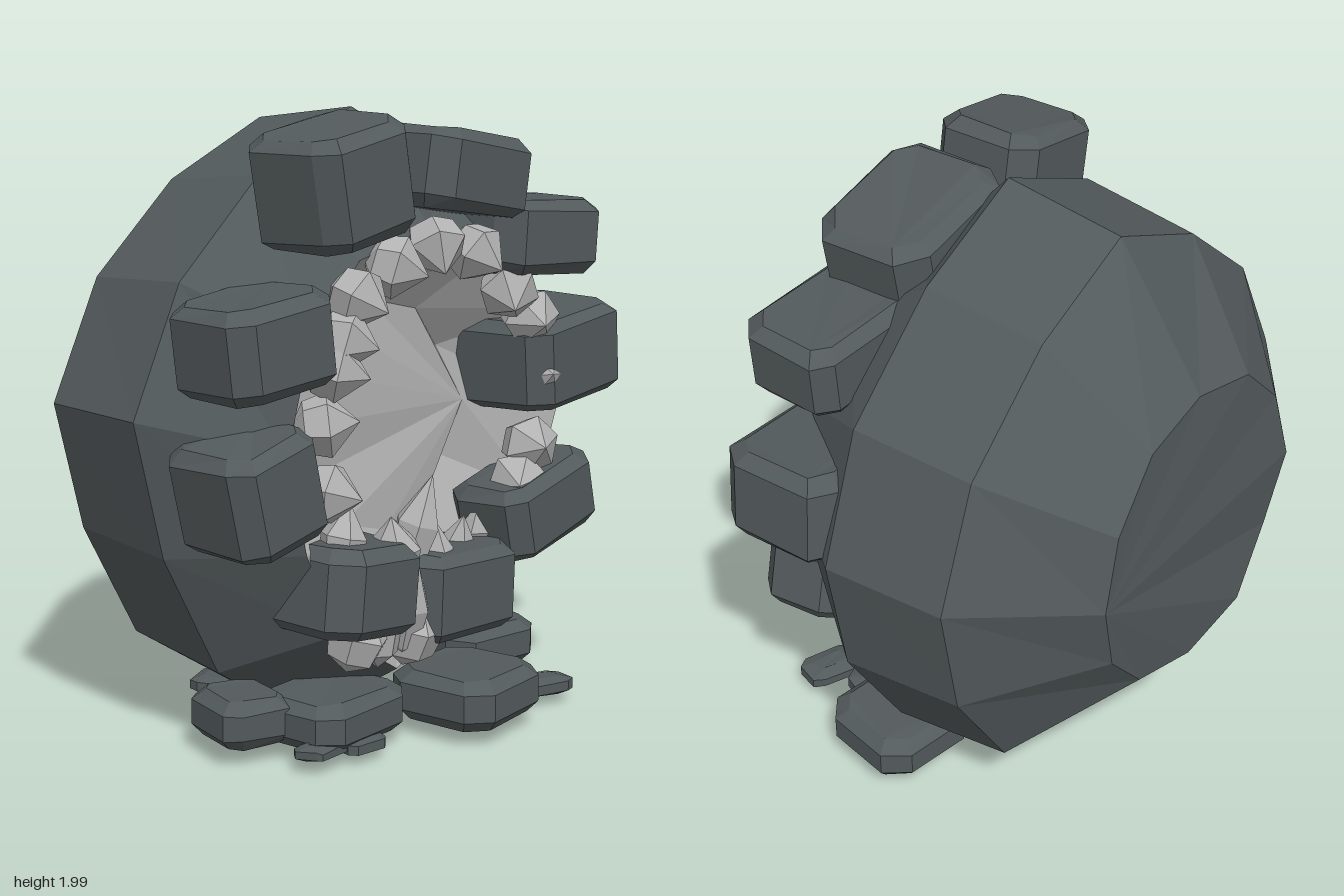
import * as THREE from 'three';

const mat = (name, color) => {
  const m = new THREE.MeshStandardMaterial({ color, flatShading: true });
  m.name = name;
  return m;
};

// Small seeded generator for natural irregularity
let seed = 7;
const jitter = (a) => {
  seed = (seed * 16807) % 2147483647;
  return (seed / 2147483647 - 0.5) * 2 * a;
};

// Skins rings of [x, y, z] points, with optional fan caps on the first and last ring
function loft(rings, capFirst, capLast) {
  const pos = [];
  const tri = (...pts) => pts.forEach((p) => pos.push(...p));
  const n = rings[0].length;
  for (let r = 0; r < rings.length - 1; r++) {
    const a = rings[r], b = rings[r + 1];
    for (let i = 0; i < n; i++) {
      const j = (i + 1) % n;
      tri(a[i], b[i], a[j]);
      tri(a[j], b[i], b[j]);
    }
  }
  const first = rings[0], last = rings[rings.length - 1];
  for (let i = 1; i < n - 1; i++) {
    if (capFirst) tri(first[0], first[i], first[i + 1]);
    if (capLast) tri(last[0], last[i + 1], last[i]);
  }
  const g = new THREE.BufferGeometry();
  g.setAttribute('position', new THREE.Float32BufferAttribute(pos, 3));
  g.computeVertexNormals();
  return g;
}

// Stone slab: chamfered octagon in plan, bevelled at top and bottom
function slabGeometry(w, h, d, j) {
  const c = Math.min(w, d) * 0.18, bevel = Math.min(0.035, h * 0.25);
  const plan = [];
  for (const [sx, sy, flip] of [[1, 1, 0], [-1, 1, 1], [-1, -1, 0], [1, -1, 1]]) {
    const p = [[sx * w / 2, sy * (d / 2 - c)], [sx * (w / 2 - c), sy * d / 2]];
    plan.push(...(flip ? p.reverse() : p));
  }
  const wobble = plan.map(() => [jitter(j), jitter(j)]);
  const layer = (z, inset) => plan.map(([x, y], i) => [
    (x + wobble[i][0]) * (1 - inset * 2 / w),
    (y + wobble[i][1]) * (1 - inset * 2 / d),
    z + jitter(j * 0.4),
  ]);
  const g = loft([layer(h / 2, 0.04), layer(h / 2 - bevel, 0),
    layer(-h / 2 + bevel, 0), layer(-h / 2, 0.03)], true, true);
  return g.rotateX(-Math.PI / 2);
}

export function createModel() {
  seed = 7;
  const model = new THREE.Group();
  const stone = mat('dark stone', 0x535a5c);
  const lining = mat('grey lining', 0xacacac);
  const crystal = mat('pale crystal', 0xb2b2b2);
  const add = (name, geo, material, parent = model) => {
    const m = new THREE.Mesh(geo, material);
    m.name = name;
    parent.add(m);
    return m;
  };
  const group = (name) => {
    const g = new THREE.Group();
    g.name = name;
    model.add(g);
    return g;
  };

  // Twelve-sided shell, widest near the middle
  const girth = [[0.91, 1.05], [0.75, 1.48], [0.4, 1.80], [0, 1.99], [-0.41, 1.80], [-0.74, 1.5],
    [-0.93, 1.1], [-0.82, 0.66], [-0.6, 0.25], [-0.23, 0.01], [0.6, 0.22], [0.84, 0.62]];
  const circle = (cx, cy, r, z, j, jz) => girth.map((_, i) => {
    const a = i * Math.PI / 6, k = r + jitter(j);
    return [cx + k * Math.cos(a), cy + k * Math.sin(a), z + jitter(jz)];
  });
  const widest = girth.map(([x, y]) => [x, y, 0.07]);
  const rear = girth.map(([x, y]) => [x * 0.96, 1.04 + (y - 1.04) * 0.945, -0.35]);
  const back = circle(0.03, 1.01, 0.51, -0.685, 0.012, 0.02);
  back[0][2] = -0.70;
  // The rim dips at the lower edge
  const rim = circle(0.02, 1.0, 0.63, 0.4, 0.015, 0.015);
  rim[8] = [-0.4, 0.4, 0.4];
  rim[9] = [-0.13, 0.23, 0.4];
  add('shell', loft([rim, widest, rear, back], false, true), stone);

  // Hollow inside; the floor fans out from a raised point at one side and rises at the bottom
  const floor = circle(0, 1.01, 0.37, 0.16, 0.012, 0.025);
  floor[0][2] = 0.22;
  for (const i of [8, 9, 10]) floor[i][2] += 0.06;
  add('hollow', loft([floor, rim], true, false), lining);

  // Stones round the opening: x, y, z, width, height, depth, tilt and turn in degrees
  const surround = group('surroundStones');
  for (const [x, y, z, w, h, d, t, turn] of [
    [-0.35, 1.79, 0.33, 0.42, 0.34, 0.39, 11, 3],
    [0.15, 1.79, 0.34, 0.52, 0.25, 0.41, -10, 3],
    [0.51, 1.57, 0.34, 0.48, 0.24, 0.38, -4, -3],
    [0.66, 1.15, 0.30, 0.53, 0.30, 0.42, 5, 5],
    [0.50, 0.67, 0.40, 0.46, 0.25, 0.31, 14, 4],
    [0.11, 0.455, 0.35, 0.46, 0.28, 0.38, -2, -3],
    [-0.34, 0.54, 0.35, 0.40, 0.28, 0.38, -6, 4],
    [-0.69, 0.90, 0.31, 0.37, 0.33, 0.38, 13, -1],
    [-0.68, 1.34, 0.32, 0.42, 0.28, 0.38, 7, -3],
  ]) {
    const s = add('surroundStone', slabGeometry(w, h, d, 0.014), stone, surround);
    s.position.set(x, y, z);
    s.rotation.set(0, THREE.MathUtils.degToRad(turn), THREE.MathUtils.degToRad(t));
  }

  // Flat stones and pebbles on the ground
  const ground = group('groundStones');
  for (const [x, y, z, w, h, d, t] of [
    [0.09, 0.14, 0.50, 0.40, 0.16, 0.38, 8],
    [0.55, 0.13, 0.11, 0.38, 0.15, 0.38, -10],
    [-0.35, 0.13, 0.32, 0.42, 0.15, 0.36, 5],
    [-0.59, 0.14, 0.17, 0.26, 0.15, 0.30, -15],
    [0.40, 0.08, 0.36, 0.20, 0.08, 0.14, 20],
    [0.45, 0.07, 0.52, 0.19, 0.06, 0.14, -20],
    [-0.51, 0.07, 0.43, 0.17, 0.05, 0.12, 15],
    [-0.36, 0.06, 0.46, 0.16, 0.05, 0.12, -5],
    [-0.04, 0.07, -0.20, 0.21, 0.06, 0.18, 10],
    [-0.27, 0.07, -0.26, 0.19, 0.06, 0.18, 30],
  ]) {
    const s = add('groundStone', slabGeometry(w, h, d, 0.01), stone, ground);
    s.position.set(x, y, z);
    s.rotation.y = THREE.MathUtils.degToRad(t);
  }

  // Faceted crystals: a six-sided body with a pointed tip
  const crystals = group('crystals');
  const up = new THREE.Vector3(0, 1, 0);
  const growCrystal = (x, y, z, r, h, dir) => {
    const geo = new THREE.LatheGeometry([[0, -h * 0.45], [r * 0.8, -h * 0.25], [r, h * 0.1], [0, h * 0.55]]
      .map((p) => new THREE.Vector2(...p)), 6);
    geo.rotateY(jitter(1));
    const c = add('crystal', geo, crystal, crystals);
    c.position.set(x, y, z);
    c.quaternion.setFromUnitVectors(up, dir.normalize());
  };
  // Ring of stubby crystals lining the rim, leaning inwards and forwards
  for (const [x, y] of [[0, 1.58], [0.19, 1.54], [-0.19, 1.53], [-0.35, 1.45], [-0.45, 1.24],
    [-0.41, 1.33], [-0.5, 1.08], [-0.48, 0.87], [0.36, 1.40], [0.47, 1.3], [0.53, 1.1],
    [0.48, 0.87], [0.42, 0.76]]) {
    growCrystal(x, y, 0.43, 0.1, 0.21,
      new THREE.Vector3(-x * 0.8 + jitter(0.3), (1.02 - y) * 0.8 + jitter(0.3), 0.6));
  }
  // Upright crystals along the lower edge
  for (const [x, y, z, r, h] of [[-0.05, 0.66, 0.4, 0.075, 0.36], [-0.17, 0.62, 0.42, 0.09, 0.24],
    [-0.36, 0.68, 0.38, 0.075, 0.24], [-0.25, 0.64, 0.3, 0.06, 0.2], [0.04, 0.58, 0.42, 0.05, 0.2],
    [0.2, 0.56, 0.36, 0.06, 0.22], [0.3, 0.6, 0.36, 0.06, 0.18], [-0.14, 0.42, 0.45, 0.07, 0.38],
    [-0.09, 0.35, 0.42, 0.11, 0.26], [-0.35, 0.38, 0.43, 0.1, 0.24], [-0.24, 0.38, 0.42, 0.08, 0.26]]) {
    growCrystal(x, y, z, r, h, new THREE.Vector3(jitter(0.25), 1, 0.15 + jitter(0.15)));
  }
  return model;
}
